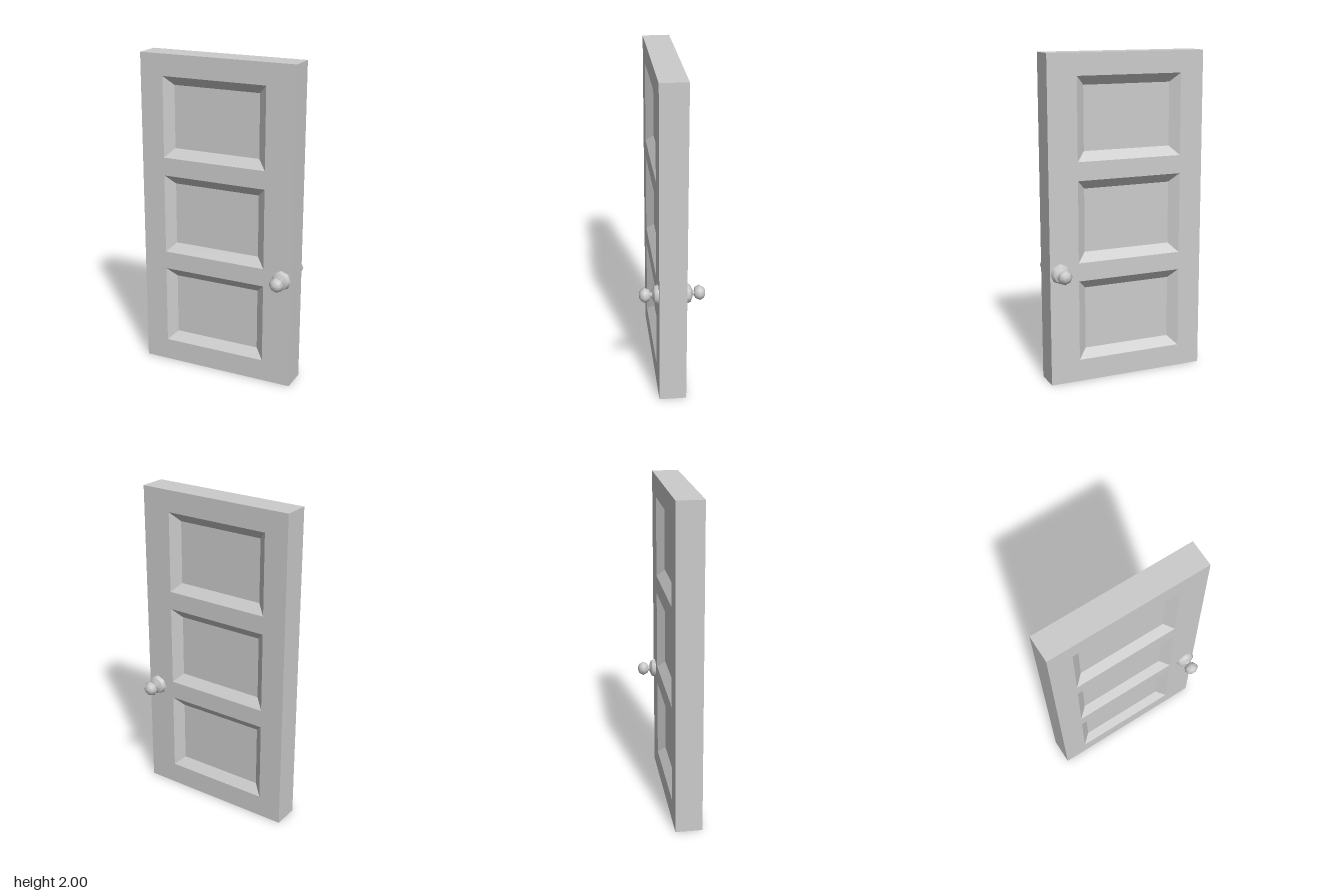
import * as THREE from 'three';

const W = 0.5, H = 2, D = 0.082;           // half width, height, half thickness
const X0 = -0.352, X1 = 0.317;             // panel opening
const PANELS = [[0.138, 0.639], [0.752, 1.253], [1.366, 1.867]];
const BEVEL = 0.056, DEPTH = 0.045;

const material = new THREE.MeshStandardMaterial({ color: 0xcccccc });

// Flat-faced mesh from quads, each given counter-clockwise from outside
function quadMesh(name, quads) {
  const positions = quads.flatMap(([a, b, c, d]) => [a, b, c, a, c, d].flat());
  const geometry = new THREE.BufferGeometry();
  geometry.setAttribute('position', new THREE.Float32BufferAttribute(positions, 3));
  geometry.computeVertexNormals();
  const mesh = new THREE.Mesh(geometry, material);
  mesh.name = name;
  return mesh;
}

const rect = (x0, y0, x1, y1, z) => [[x0, y0, z], [x1, y0, z], [x1, y1, z], [x0, y1, z]];

// Mirror quads to the back face, keeping them facing outwards
const toSide = (quads, side) => side > 0 ? quads
  : quads.map(q => q.map(([x, y, z]) => [x, y, -z]).reverse());

// Stiles and rails around the panel openings
function frameQuads() {
  const quads = [rect(-W, 0, X0, H, D), rect(X1, 0, W, H, D)];
  const edges = [0, ...PANELS.flat(), H];
  for (let i = 0; i < edges.length; i += 2) quads.push(rect(X0, edges[i], X1, edges[i + 1], D));
  return quads;
}

// Sunken panel with sloping sides
function panelQuads([y0, y1]) {
  const outer = rect(X0, y0, X1, y1, D);
  const inner = rect(X0 + BEVEL, y0 + BEVEL, X1 - BEVEL, y1 - BEVEL, D - DEPTH);
  const slopes = outer.map((p, i) => {
    const j = (i + 1) % 4;
    return [p, outer[j], inner[j], inner[i]];
  });
  return [inner, ...slopes];
}

// Outer edges of the slab
function edgeQuads() {
  const f = rect(-W, 0, W, H, D), b = rect(-W, 0, W, H, -D);
  return f.map((p, i) => {
    const j = (i + 1) % 4;
    return [p, b[i], b[j], f[j]];
  });
}

function lathe(name, points) {
  const geometry = new THREE.LatheGeometry(points.map(([r, y]) => new THREE.Vector2(r, y)), 8);
  const mesh = new THREE.Mesh(geometry, material);
  mesh.name = name;
  return mesh;
}

// Rose, neck and faceted ball, turned to point along the door's normal
function makeKnob(side) {
  const knob = new THREE.Group();
  knob.name = side > 0 ? 'frontKnob' : 'backKnob';
  knob.add(
    lathe('rose', [[0.062, 0], [0.061, 0.006], [0.054, 0.023], [0.05, 0.025], [0.019, 0.038]]),
    lathe('neck', [[0.019, 0.038], [0.016, 0.042], [0.016, 0.047], [0.019, 0.051]]),
    lathe('ball', [[0, 0.047], [0.019, 0.048], [0.034, 0.053], [0.047, 0.08],
      [0.034, 0.102], [0.018, 0.111], [0, 0.114]])
  );
  knob.rotation.x = side * Math.PI / 2;
  knob.position.set(0.435, 0.7, side * D);
  return knob;
}

export function createModel() {
  const door = new THREE.Group();
  door.name = 'door';
  door.add(quadMesh('slabEdges', edgeQuads()));
  for (const side of [1, -1]) {
    const label = side > 0 ? 'front' : 'back';
    door.add(quadMesh(label + 'Frame', toSide(frameQuads(), side)));
    PANELS.forEach((p, i) =>
      door.add(quadMesh(label + 'Panel' + (i + 1), toSide(panelQuads(p), side))));
    door.add(makeKnob(side));
  }
  return door;
}
